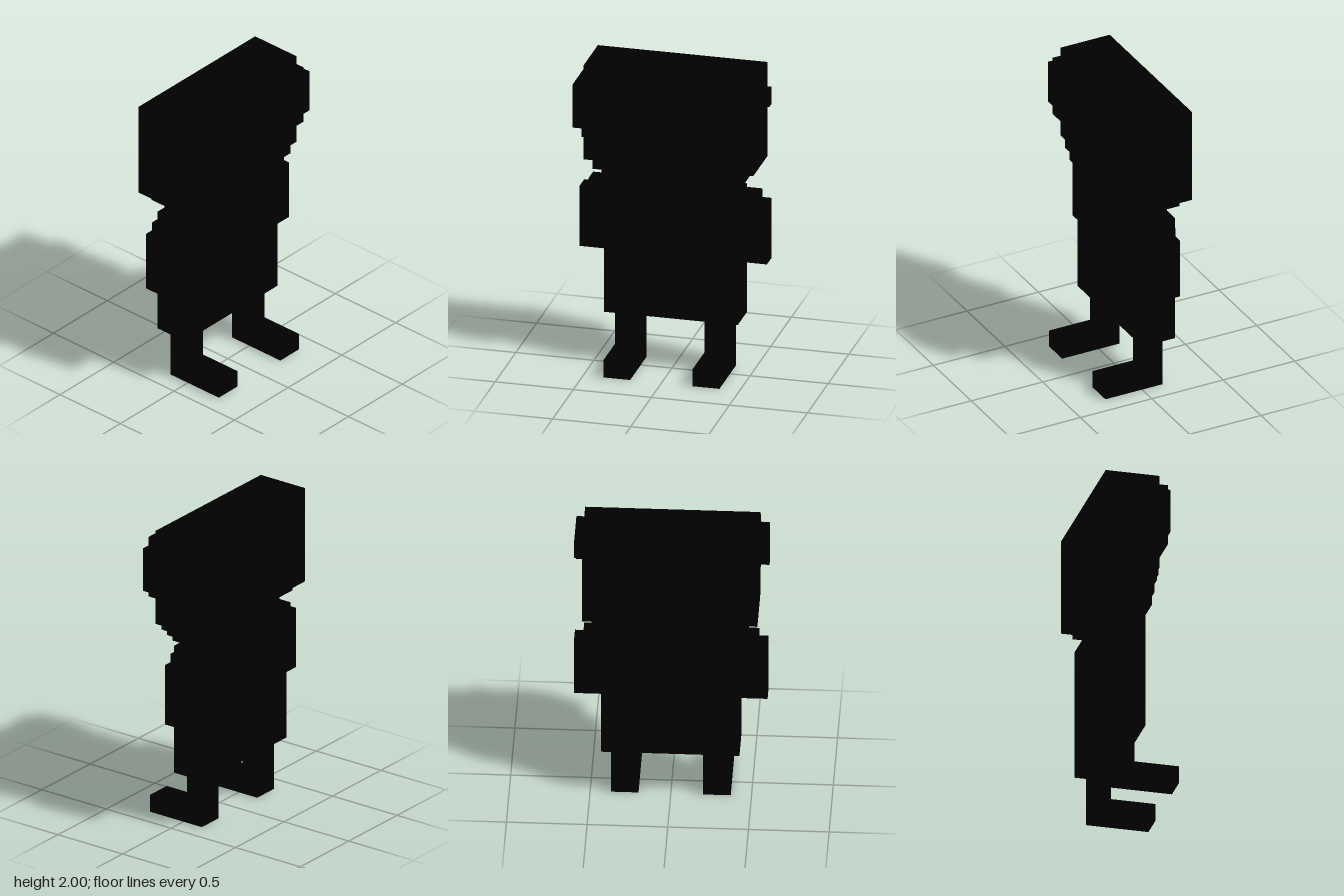
import * as THREE from 'three';

const U = 2 / 35; // one voxel: the figure is 35 voxels tall
const material = new THREE.MeshStandardMaterial({ color: 0x000000, flatShading: true });

// Box from its limits, in voxels
function block(parent, name, [x0, x1], [y0, y1], [z0, z1]) {
  const mesh = new THREE.Mesh(
    new THREE.BoxGeometry((x1 - x0) * U, (y1 - y0) * U, (z1 - z0) * U), material);
  mesh.position.set((x0 + x1) / 2 * U, (y0 + y1) / 2 * U, (z0 + z1) / 2 * U);
  mesh.name = name;
  parent.add(mesh);
}

function part(parent, name) {
  const group = new THREE.Group();
  group.name = name;
  parent.add(group);
  return group;
}

export function createModel() {
  const model = new THREE.Group();
  model.name = 'voxelFigure';

  // Head with a chin that narrows in steps
  const head = part(model, 'head');
  block(head, 'skull', [-9.5, 9.5], [24, 35], [-4.5, 1.5]);
  block(head, 'jaw', [-8.5, 8.5], [23, 24], [-3.5, 1.5]);
  block(head, 'chin', [-7.5, 7.5], [22, 23], [-2.5, 1.5]);
  block(head, 'neck', [-6.5, 6.5], [21, 22], [-2.5, 1.5]);
  block(head, 'nose', [-1.5, 1.5], [27, 30], [1.5, 3.5]);

  block(model, 'torso', [-7.5, 7.5], [6, 21], [-3.5, 0.5]);

  const glasses = part(model, 'glasses');
  block(glasses, 'bridge', [-1.5, 1.5], [32, 33], [1.5, 2.5]);

  for (const [side, s] of [['left', 1], ['right', -1]]) {
    // Mirrors an x range for the right side
    const mx = (a, b) => (s > 0 ? [a, b] : [-b, -a]);

    // Spectacle rim around a raised pupil
    const rim = part(glasses, side + 'Rim');
    const front = [1.5, 2.5];
    block(rim, 'rimTop', mx(2.5, 9.5), [33, 34], front);
    block(rim, 'rimBottom', mx(2.5, 9.5), [27, 28], front);
    block(rim, 'rimOuter', mx(9.5, 10.5), [28, 33], front);
    block(rim, 'rimInner', mx(1.5, 2.5), [28, 33], front);
    block(head, side + 'Pupil', mx(4.5, 7.5), [29, 32], front);

    // Temple bar, hooked down at the back
    block(glasses, side + 'Temple', mx(9.5, 10.5), [32, 33], [-2.5, 1.5]);
    block(glasses, side + 'TempleHook', mx(9.5, 10.5), [31, 32], [-2.5, -1.5]);

    const arm = part(model, side + 'Arm');
    block(arm, 'upperArm', mx(7.5, 9.5), [13, 21], [-2.5, -0.5]);
    block(arm, 'outerArm', mx(9.5, 10.5), [13, 20], [-2.5, -0.5]);

    const leg = part(model, side + 'Leg');
    block(leg, 'shin', mx(3.5, 6.5), [0, 6], [-2.5, -0.5]);
    block(leg, 'foot', mx(3.5, 6.5), [0, 2], [-0.5, 4.5]);
  }
  return model;
}
